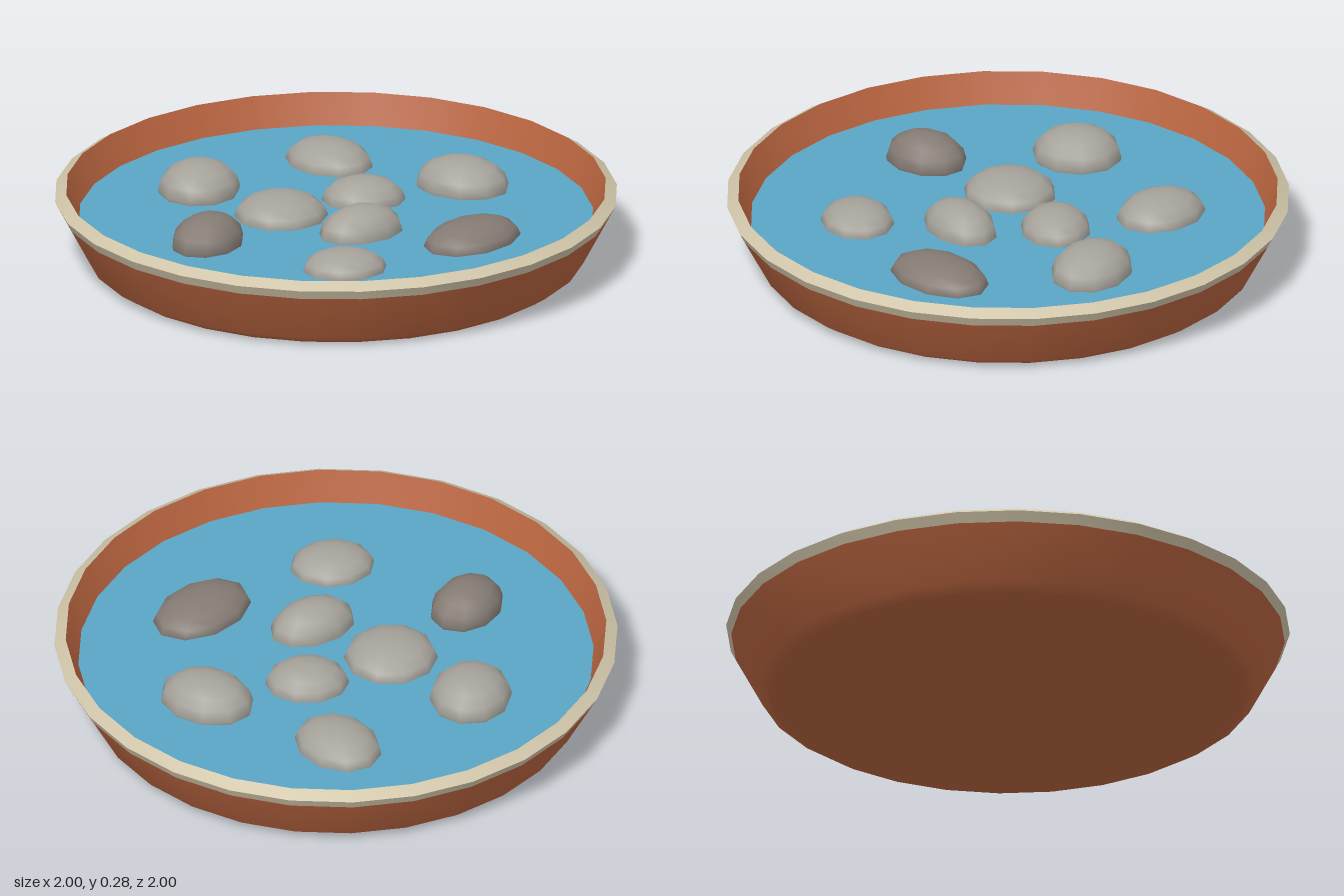
import * as THREE from 'three';
import { toCreasedNormals } from 'three/addons/utils/BufferGeometryUtils.js';

const SIDES = 28;
const WATER_Y = 0.165;

function material(name, color) {
  const m = new THREE.MeshStandardMaterial({ color });
  m.name = name;
  return m;
}

// Revolves a profile of [radius, height] points around the y axis
function lathe(points) {
  return new THREE.LatheGeometry(points.map(([r, y]) => new THREE.Vector2(r, y)), SIDES);
}

export function createModel() {
  const group = new THREE.Group();
  group.name = 'pebbleWaterDish';

  const terracotta = material('terracotta', 0xb8643f);
  const cream = material('cream glaze', 0xcfc4a8);
  const blue = material('water blue', 0x5aa5c6);
  const grey = material('light stone', 0xa5a29a);
  const darkGrey = material('dark stone', 0x857b74);

  function add(name, geometry, mat) {
    const mesh = new THREE.Mesh(geometry, mat);
    mesh.name = name;
    group.add(mesh);
    return mesh;
  }

  // Dish: outer shell with a bevelled foot, and the inner wall
  add('dishOuter', lathe([[0, 0], [0.84, 0], [0.885, 0.03], [0.982, 0.215]]), terracotta);
  add('dishInner', lathe([[0.96, 0.275], [0.915, WATER_Y], [0.87, 0.06], [0, 0.06]]), terracotta);

  // Glazed rim: under-lip and sloping top
  add('rim', toCreasedNormals(lathe([[0.982, 0.215], [1, 0.25], [0.96, 0.275]]), 0.5), cream);

  // Water surface
  const water = new THREE.CircleGeometry(0.916, SIDES).rotateX(-Math.PI / 2);
  add('water', water, blue).position.y = WATER_Y;

  // Pebbles: x, y, z, half length, half height, half width, turn in degrees, material
  const pebbles = [
    [-0.385, 0.18, -0.385, 0.161, 0.102, 0.146, 60, grey],
    [0.145, 0.165, -0.523, 0.173, 0.086, 0.14, -65, grey],
    [-0.183, 0.165, -0.067, 0.168, 0.083, 0.166, 20, grey],
    [0.145, 0.165, -0.13, 0.15, 0.085, 0.126, -15, grey],
    [0.518, 0.177, -0.142, 0.175, 0.1, 0.139, -45, grey],
    [-0.522, 0.18, 0.133, 0.153, 0.1, 0.12, 40, darkGrey],
    [0.032, 0.168, 0.188, 0.163, 0.1, 0.115, 15, grey],
    [0.383, 0.165, 0.382, 0.203, 0.077, 0.138, 28, darkGrey],
    [-0.137, 0.165, 0.517, 0.152, 0.072, 0.13, -5, grey],
  ];
  const pebbleShape = new THREE.SphereGeometry(1, 10, 8);
  pebbles.forEach(([x, y, z, a, h, b, turn, mat], i) => {
    const pebble = add(`pebble${i + 1}`, pebbleShape, mat);
    pebble.position.set(x, y, z);
    pebble.scale.set(a, h, b);
    pebble.rotation.y = THREE.MathUtils.degToRad(turn);
  });

  return group;
}
